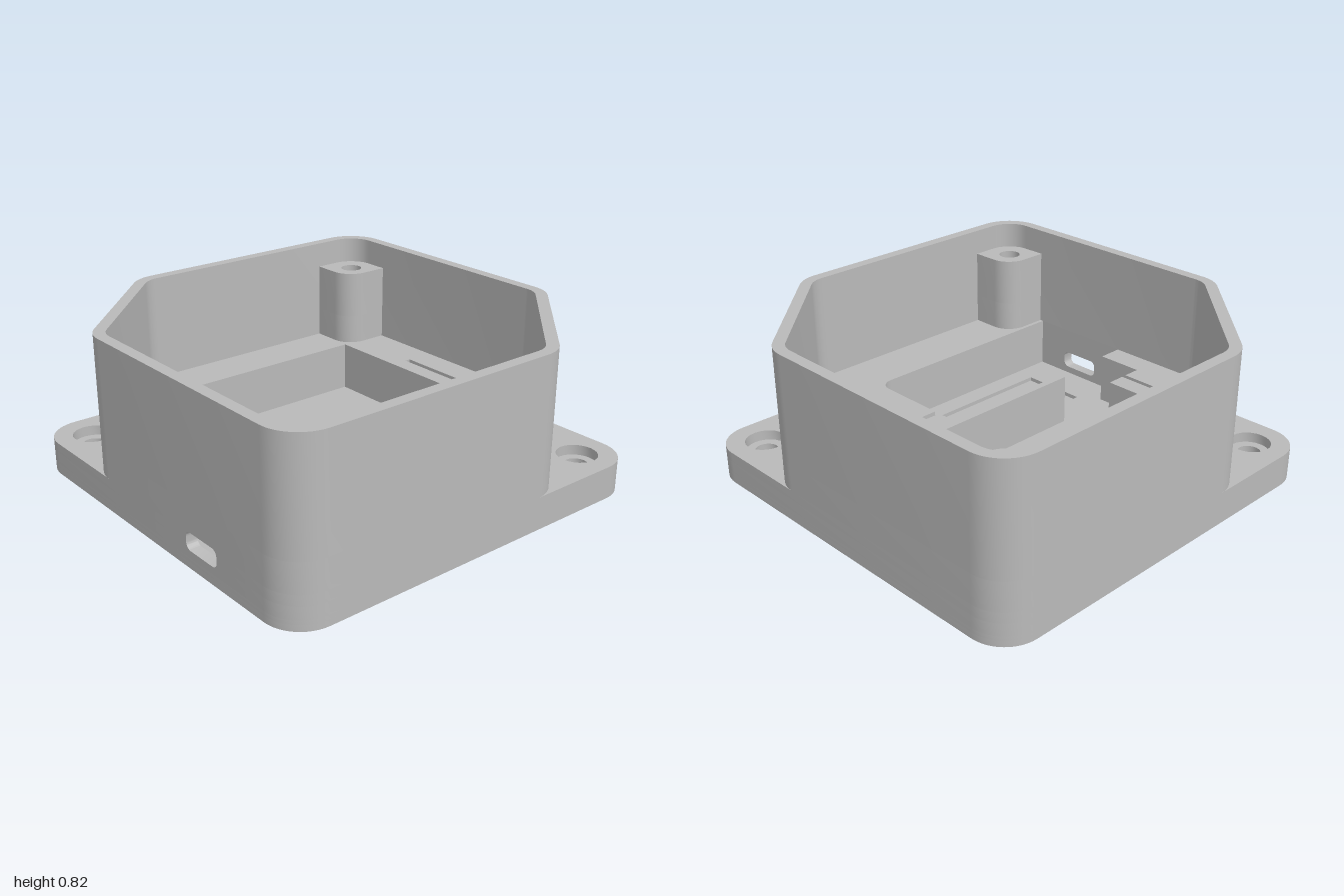
import * as THREE from 'three';
import { toCreasedNormals } from 'three/addons/utils/BufferGeometryUtils.js';

const H = 0.82, FLANGE = 0.16, DECK = 0.3, FLOOR = 0.05, WALL = 0.055, HOLE = 0.815;

// Closed outline from [x, z, cornerRadius] points
function outline(points) {
  const shape = new THREE.Shape();
  const n = points.length;
  points.forEach(([x, z, r = 0], i) => {
    const p = new THREE.Vector2(x, z);
    const toward = (q) => new THREE.Vector2(q[0], q[1]).sub(p).normalize();
    const a = toward(points[(i + n - 1) % n]);
    const b = toward(points[(i + 1) % n]);
    const turn = Math.PI - Math.acos(THREE.MathUtils.clamp(a.dot(b), -1, 1));
    const t = r * Math.tan(turn / 2);
    const k = r ? t - (4 / 3) * r * Math.tan(turn / 4) : 0;
    const at = (d, s) => p.clone().addScaledVector(d, s);
    const start = at(a, t);
    if (i === 0) shape.moveTo(start.x, start.y);
    else shape.lineTo(start.x, start.y);
    if (r) {
      const c1 = at(a, k), c2 = at(b, k), end = at(b, t);
      shape.bezierCurveTo(c1.x, c1.y, c2.x, c2.y, end.x, end.y);
    }
  });
  shape.closePath();
  return shape;
}

const rect = (x0, z0, x1, z1, r = 0) =>
  outline([[x0, z0, r], [x1, z0, r], [x1, z1, r], [x0, z1, r]]);

const circle = (x, z, r) => new THREE.Path().absarc(x, z, r, 0, Math.PI * 2);

// Corner holes: mounting holes in the flanges, screw holes under the posts
const cornerHoles = (mount, screw) => [
  circle(HOLE, HOLE, mount), circle(-HOLE, -HOLE, mount),
  ...(screw ? [circle(HOLE, -HOLE, screw), circle(-HOLE, HOLE, screw)] : []),
];

const squarePoints = [[-1, -1, 0.18], [1, -1, 0.18], [1, 1, 0.18], [-1, 1, 0.18]];

// Square with two opposite corners cut off
const cutPoints = (s, c, r) => [
  [-s, -c, r], [-c, -s, r], [s, -s, r], [s, c, r], [c, s, r], [-s, s, r],
];

// Compartment edge, entered and left through the port opening in the -x wall
const pocket = [
  [-1, 0.55], [-0.945, 0.55], [-0.945, 0.68], [0.22, 0.68, 0.07], [0.22, 0.265],
  [0.805, 0.265], [0.805, -0.32], [0.775, -0.32], [0.775, 0.235], [0.22, 0.235],
  [0.22, 0.13, 0.07], [-0.5, 0.13], [-0.5, 0.095], [0.69, 0.095], [0.69, -0.715],
  [-0.61, -0.715], [-0.61, -0.32], [-0.73, -0.32], [-0.73, -0.105], [-0.82, -0.105],
  [-0.82, 0.13], [-0.945, 0.13], [-0.945, 0.25], [-1, 0.25],
];

export function createModel() {
  const group = new THREE.Group();
  const grey = new THREE.MeshStandardMaterial({ color: 0xbababa });
  grey.name = 'grey plastic';

  function extrude(shape, depth) {
    return new THREE.ExtrudeGeometry(shape, { depth, bevelEnabled: false, curveSegments: 12 });
  }
  function add(name, geometry) {
    const mesh = new THREE.Mesh(toCreasedNormals(geometry, Math.PI / 6), grey);
    mesh.name = name;
    group.add(mesh);
  }
  // Horizontal slab of a plan outline between two heights
  function slab(name, shape, y0, y1, holes = []) {
    shape.holes.push(...holes);
    add(name, extrude(shape, y1 - y0).rotateX(Math.PI / 2).translate(0, y1, 0));
  }

  // Bottom plate with a shallow recess for a board
  slab('bottomPlate', outline(squarePoints), 0, 0.03, cornerHoles(0.055, 0.035));
  slab('compartmentFloor', outline(squarePoints), 0.03, FLOOR,
    [...cornerHoles(0.055, 0.035), rect(-0.75, 0.235, 0.06, 0.58)]);

  // Flanged body around the compartment, counterbored at the mounting holes
  const body = [...squarePoints, ...pocket];
  slab('lowerBody', outline(body), FLOOR, 0.11, cornerHoles(0.055, 0.035));
  slab('flange', outline(body), 0.11, FLANGE, cornerHoles(0.098, 0.035));

  // Raised inner deck
  slab('deck', outline([...cutPoints(1, 0.41, 0.18), ...pocket]), FLANGE, DECK,
    [circle(HOLE, -HOLE, 0.035), circle(-HOLE, HOLE, 0.035)]);

  // Outer wall
  slab('outerWall', outline(cutPoints(1, 0.41, 0.18)), DECK, H,
    [outline(cutPoints(1 - WALL, 0.385, 0.125))]);

  // Free-standing block inside the compartment
  slab('supportBlock', rect(-0.705, -0.295, -0.61, -0.105), FLOOR, DECK);

  // Screw posts in the two full corners, with a wider bore at the top
  for (const s of [1, -1]) {
    const post = () => outline([
      [s * 0.695, s * -0.7, 0.11], [s * 0.96, s * -0.7],
      [s * 0.96, s * -0.96, 0.14], [s * 0.695, s * -0.96],
    ]);
    slab('screwPostBase', post(), DECK, 0.45, [circle(s * HOLE, -s * HOLE, 0.035)]);
    slab('screwPostTop', post(), 0.45, 0.69, [circle(s * HOLE, -s * HOLE, 0.055)]);
  }

  // Wall panel with the port slot
  const panel = rect(0.25, FLOOR, 0.55, DECK);
  panel.holes.push(rect(0.29, 0.085, 0.51, 0.17, 0.03));
  add('portPanel', extrude(panel, WALL).rotateY(-Math.PI / 2).translate(-1 + WALL, 0, 0));

  return group;
}
